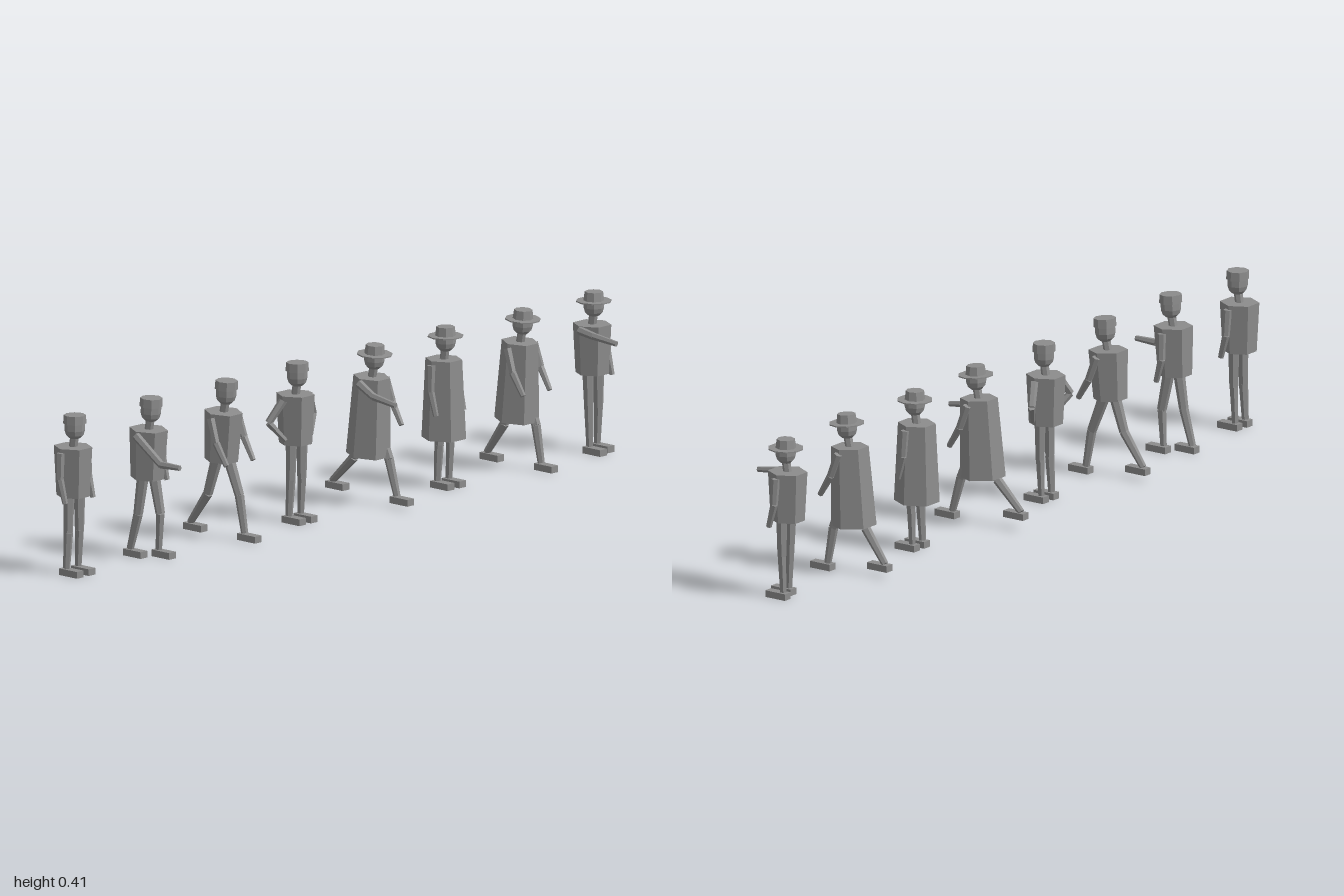
import * as THREE from 'three';

const grey = new THREE.MeshStandardMaterial({ color: 0x8c8c8c, flatShading: true });
grey.name = 'grey';

function add(parent, name, geometry, x = 0, y = 0, z = 0) {
  const mesh = new THREE.Mesh(geometry, grey);
  mesh.name = name;
  mesh.position.set(x, y, z);
  parent.add(mesh);
  return mesh;
}

// Tapered six-sided rod from point a to point b
function limb(parent, name, a, b, ra, rb) {
  const p = new THREE.Vector3(...a), q = new THREE.Vector3(...b);
  const dir = q.clone().sub(p);
  const mesh = add(parent, name, new THREE.CylinderGeometry(rb, ra, dir.length(), 6));
  mesh.position.copy(p).add(q).multiplyScalar(0.5);
  mesh.quaternion.setFromUnitVectors(new THREE.Vector3(0, 1, 0), dir.normalize());
}

// Hexagonal body block: half depth along x, half width along z
function body(parent, name, y0, y1, bottom, top) {
  const k = Math.cos(Math.PI / 6);
  const geo = new THREE.CylinderGeometry(top / k, bottom / k, y1 - y0, 6);
  geo.scale(1, 1, 0.92);
  add(parent, name, geo, -0.018, (y0 + y1) / 2, 0);
}

// Legs: knee [x, y] and ankle [x, y], for right (+z) and left (-z)
const STAND = [[[-0.015, 0.11], [-0.02, 0.018]], [[-0.015, 0.11], [-0.02, 0.018]]];
const SHIFT = [[[-0.01, 0.11], [-0.006, 0.018]], [[-0.015, 0.11], [-0.02, 0.018]]];
const STEP = [[[-0.03, 0.11], [-0.056, 0.018]], [[0.008, 0.11], [0.002, 0.018]]];
const STRIDE = [[[-0.045, 0.115], [-0.104, 0.033]], [[0.025, 0.115], [0.042, 0.021]]];
const LONG_STRIDE = [[[-0.053, 0.117], [-0.126, 0.046]], [[0.03, 0.118], [0.056, 0.028]]];

// Arms: elbow and hand as [x, y, distance from the centre line]
const DOWN = [[-0.014, 0.25, 0.051], [0.003, 0.19, 0.05]];
const SWING = [[0.012, 0.257, 0.05], [0.046, 0.203, 0.048]];
const HIP = [[-0.034, 0.262, 0.08], [-0.01, 0.215, 0.045]];
const REACH_LOW = [[0.075, 0.256, 0.047], [0.137, 0.257, 0.045]];
const REACH_MID = [[0.04, 0.29, 0.047], [0.114, 0.279, 0.045]];
const REACH_HIGH = [[0.032, 0.309, 0.047], [0.105, 0.3, 0.041]];

const FIGURES = [
  { legs: STAND, right: DOWN, left: DOWN },
  { legs: STEP, right: REACH_LOW, left: DOWN, lean: 0.04 },
  { legs: STRIDE, right: SWING, left: SWING, lean: 0.06 },
  { legs: STAND, right: HIP, left: HIP },
  { legs: LONG_STRIDE, right: REACH_MID, left: SWING, lean: 0.06, hat: true, coat: true },
  { legs: STAND, right: DOWN, left: DOWN, hat: true, coat: true },
  { legs: STRIDE, right: SWING, left: SWING, lean: 0.06, hat: true, coat: true },
  { legs: SHIFT, right: REACH_HIGH, left: DOWN, hat: true },
];

function makeFigure({ legs, right, left, lean = 0, hat = false, coat = false }) {
  const figure = new THREE.Group();

  // Torso, neck and head lean together about the hips
  const upper = new THREE.Group();
  upper.name = 'upperBody';
  upper.position.set(-0.018 * (1 - Math.cos(lean)), 0.2 * (1 - Math.cos(lean)), 0);
  upper.position.x -= 0.2 * Math.sin(lean);
  upper.rotation.z = -lean;
  figure.add(upper);
  if (coat) body(upper, 'longCoat', 0.124, 0.326, 0.051, 0.042);
  else body(upper, 'jacket', 0.2, 0.326, 0.038, 0.044);

  limb(upper, 'neck', [-0.018, 0.32, 0], [-0.013, 0.352, 0], 0.011, 0.011);
  const profile = [[0, 0.346], [0.014, 0.348], [0.022, 0.356], [0.0255, 0.368], [0.0255, 0.388], [0, 0.39]]
    .map(([r, y]) => new THREE.Vector2(r, y));
  add(upper, 'head', new THREE.LatheGeometry(profile, 8), -0.012);
  if (hat) {
    add(upper, 'hatBrim', new THREE.CylinderGeometry(0.045, 0.045, 0.003, 10), -0.012, 0.385);
    add(upper, 'hatCrown', new THREE.CylinderGeometry(0.023, 0.026, 0.024, 8), -0.012, 0.397);
  } else {
    add(upper, 'cap', new THREE.CylinderGeometry(0.028, 0.029, 0.022, 8), -0.012, 0.396);
  }

  // Mirrored arms, legs and feet
  [[1, right, 'right'], [-1, left, 'left']].forEach(([s, [elbow, hand], side], i) => {
    const e = [elbow[0], elbow[1], s * elbow[2]];
    const h = [hand[0], hand[1], s * hand[2]];
    limb(figure, side + 'UpperArm', [-0.016 + lean * 0.11, 0.316, s * 0.047], e, 0.011, 0.0095);
    limb(figure, side + 'Forearm', e, h, 0.0095, 0.007);

    const [knee, ankle] = legs[i];
    const k = [knee[0], knee[1], s * 0.02], a = [ankle[0], ankle[1], s * 0.021];
    limb(figure, side + 'Thigh', [-0.014, 0.212, s * 0.019], k, 0.015, 0.012);
    limb(figure, side + 'Shin', k, a, 0.012, 0.009);
    add(figure, side + 'Foot', new THREE.BoxGeometry(0.061, 0.017, 0.024),
      ankle[0] + 0.0165, ankle[1] - 0.0095, s * 0.021);
  });
  return figure;
}

export function createModel() {
  const model = new THREE.Group();
  model.name = 'walkingRow';
  FIGURES.forEach((options, i) => {
    const figure = makeFigure(options);
    figure.name = 'figure' + (i + 1);
    figure.position.z = 0.935 - i * (1.87 / 7);
    model.add(figure);
  });
  return model;
}
